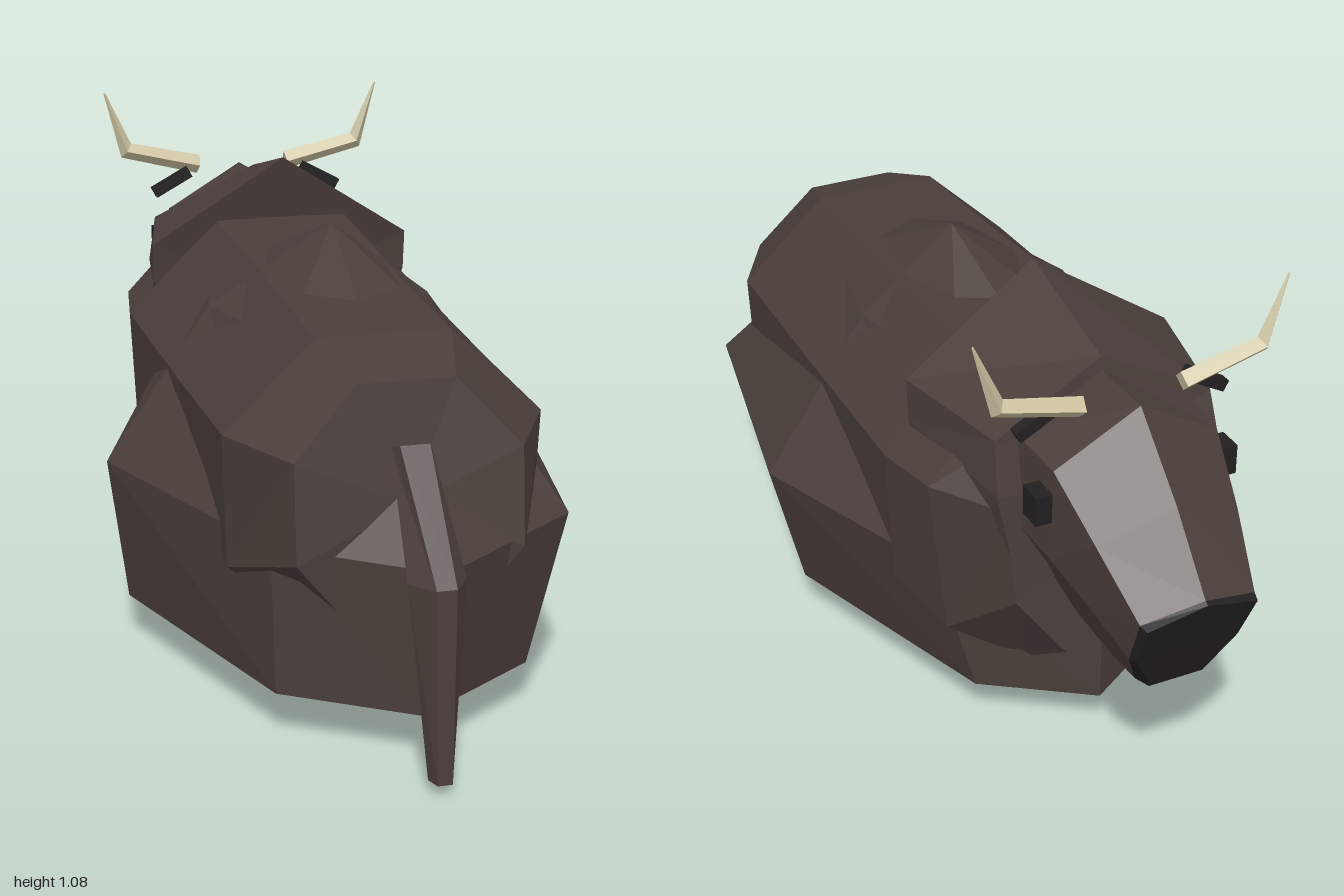
import * as THREE from 'three';

const material = (color) => new THREE.MeshStandardMaterial({ color, flatShading: true });
const fur = material(0x4a3e3a), horn = material(0xcbc2a0), dark = material(0x222021);

// Mirrors a half section (top to bottom on +x) into a closed ring.
function mirrored(half) {
  const left = half.filter((p) => p[0] > 0).reverse().map(([x, y, z]) => [-x, y, z]);
  return [...half, ...left];
}

// Skins closed rings with equal point counts and caps both ends.
function loft(name, rings, mat) {
  const pos = [];
  const n = rings[0].length;
  const tri = (...points) => points.forEach((p) => pos.push(...p));
  const centre = (ring) => [0, 1, 2].map((k) => ring.reduce((s, p) => s + p[k], 0) / n);
  const first = rings[0], last = rings[rings.length - 1];
  const c0 = centre(first), c1 = centre(last);
  for (let j = 0; j < n; j++) {
    const k = (j + 1) % n;
    tri(c0, first[k], first[j]);
    tri(c1, last[j], last[k]);
    for (let i = 0; i < rings.length - 1; i++) {
      const a = rings[i], b = rings[i + 1];
      tri(a[j], a[k], b[j]);
      tri(a[k], b[k], b[j]);
    }
  }
  const geometry = new THREE.BufferGeometry();
  geometry.setAttribute('position', new THREE.Float32BufferAttribute(pos, 3));
  geometry.computeVertexNormals();
  const mesh = new THREE.Mesh(geometry, mat);
  mesh.name = name;
  return mesh;
}

function box(name, size, at, mat, tilt = 0) {
  const mesh = new THREE.Mesh(new THREE.BoxGeometry(...size), mat);
  mesh.name = name;
  mesh.position.set(...at);
  mesh.rotation.z = tilt;
  return mesh;
}

// Long coat: an irregular low-poly ball, eight points a ring, from the back down.
function makeCoat() {
  const level = (y, points) => points.map(([x, z]) => [x, y, z]);
  const apex = (x, y, z) => Array.from({ length: 8 }, () => [x, y, z]);
  return loft('longCoat', [
    apex(0.02, 0.91, 0.09),
    level(0.74, [[0, -0.38], [0.17, -0.26], [0.24, 0.08], [0.18, 0.4], [0, 0.5], [-0.16, 0.4], [-0.25, 0.08], [-0.17, -0.26]]),
    level(0.41, [[0, -0.6], [0.3, -0.42], [0.48, 0.06], [0.37, 0.64], [0.03, 0.9], [-0.26, 0.68], [-0.48, 0.09], [-0.3, -0.42]]),
    level(0.1, [[0, -0.6], [0.22, -0.45], [0.4, 0.08], [0.28, 0.66], [0, 0.85], [-0.25, 0.68], [-0.44, 0.1], [-0.24, -0.45]]),
    apex(0, 0, 0.1),
  ], fur);
}

// Trunk: eight-sided sections from rump to chest.
function makeTrunk() {
  const sections = [
    [[0.1, 0.74, 0.72], [0.23, 0.6, 0.75], [0.23, 0.4, 0.77], [0.11, 0.25, 0.75]],
    [[0.14, 0.79, 0.56], [0.33, 0.61, 0.57], [0.32, 0.33, 0.56], [0.15, 0.2, 0.56]],
    [[0.14, 0.81, 0.2], [0.34, 0.615, 0.2], [0.32, 0.34, 0.2], [0.15, 0.2, 0.2]],
    [[0.15, 0.84, -0.28], [0.355, 0.63, -0.3], [0.34, 0.33, -0.3], [0.15, 0.25, -0.3]],
    [[0.14, 0.84, -0.46], [0.33, 0.64, -0.46], [0.29, 0.28, -0.46], [0.13, 0.18, -0.5]],
    [[0.12, 0.82, -0.58], [0.23, 0.64, -0.61], [0.21, 0.42, -0.62], [0.1, 0.27, -0.63]],
  ];
  return loft('trunk', sections.map(mirrored), fur);
}

// Mane: a ridged collar over the shoulders.
function makeMane() {
  const sections = [
    [[0, 0.985, -0.26], [0.3, 0.79, -0.29], [0.3, 0.7, -0.3], [0.26, 0.45, -0.4], [0, 0.35, -0.4]],
    [[0, 0.91, -0.56], [0.24, 0.79, -0.58], [0.25, 0.68, -0.61], [0.2, 0.43, -0.62], [0, 0.34, -0.62]],
  ];
  return loft('mane', sections.map(mirrored), fur);
}

// Head with a dark muzzle cap.
function makeHead() {
  const head = new THREE.Group();
  head.name = 'head';
  const nose = [[0, 0.605, -0.99], [0.125, 0.57, -0.965], [0.12, 0.46, -0.92], [0.07, 0.355, -0.86]];
  const tip = [[0, 0.6, -1], [0.12, 0.565, -0.985], [0.11, 0.46, -0.94], [0.06, 0.36, -0.9]];
  const sections = [
    [[0, 0.88, -0.55], [0.19, 0.79, -0.57], [0.2, 0.6, -0.58], [0.12, 0.46, -0.58]],
    [[0, 0.885, -0.72], [0.18, 0.78, -0.71], [0.185, 0.58, -0.7], [0.11, 0.415, -0.69]],
    [[0, 0.745, -0.87], [0.155, 0.68, -0.84], [0.15, 0.52, -0.81], [0.09, 0.38, -0.79]],
    nose,
  ];
  head.add(loft('skull', sections.map(mirrored), fur));
  head.add(loft('muzzle', [nose, tip].map(mirrored), dark));
  return head;
}

// One horn, ear and eye for the +x side.
function makeFeatures(name) {
  const side = new THREE.Group();
  side.name = name;
  const ring = (x, y, rx, ry, rz) => [
    [x - rx, y + ry, -0.685], [x, y, -0.685 + rz], [x + rx, y - ry, -0.685], [x, y, -0.685 - rz],
  ];
  side.add(loft('horn', [
    ring(0.11, 0.893, 0.004, 0.022, 0.024),
    ring(0.288, 0.935, 0.012, 0.017, 0.02),
    ring(0.338, 1.077, 0.002, 0.001, 0.002),
  ], horn));
  side.add(box('ear', [0.1, 0.025, 0.025], [0.185, 0.86, -0.645], dark, -0.5));
  side.add(box('eye', [0.035, 0.065, 0.055], [0.205, 0.705, -0.695], dark));
  return side;
}

// Tail: hangs from the rump and bends down to a narrow tip.
function makeTail() {
  const sections = [
    [[0, 0.6, 0.73], [0.04, 0.62, 0.75], [0.03, 0.63, 0.78]],
    [[0, 0.4, 0.9], [0.058, 0.41, 0.93], [0.02, 0.415, 0.99]],
    [[0, 0.03, 0.955], [0.025, 0.025, 0.97], [0.015, 0.025, 1]],
  ];
  return loft('tail', sections.map(mirrored), fur);
}

export function createModel() {
  const model = new THREE.Group();
  model.name = 'longHairedOx';
  const features = makeFeatures('hornEarAndEye');
  const opposite = makeFeatures('oppositeHornEarAndEye');
  opposite.scale.x = -1;
  model.add(makeCoat(), makeTrunk(), makeMane(), makeHead(), features, opposite, makeTail());
  return model;
}
